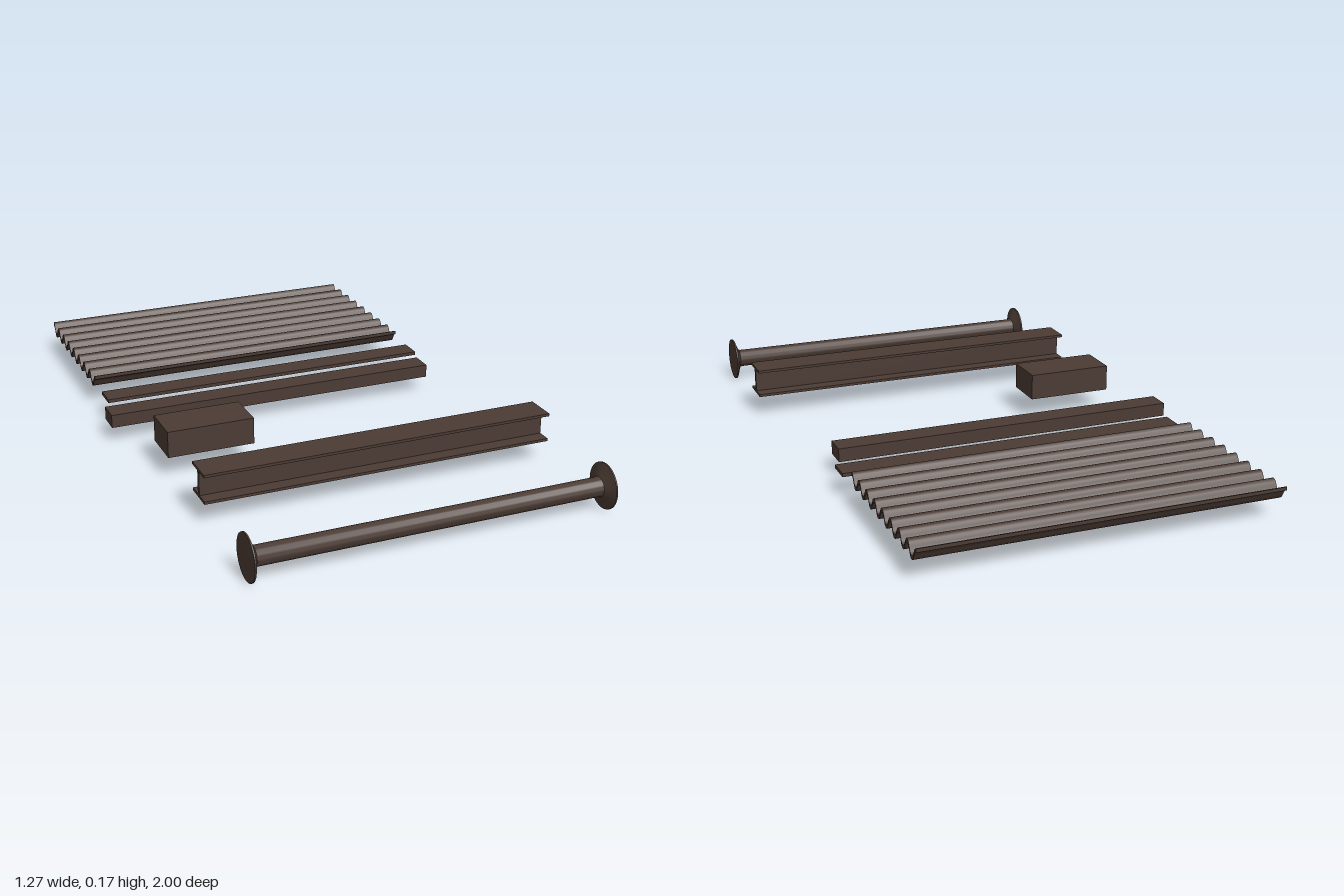
import * as THREE from 'three';
import { toCreasedNormals } from 'three/addons/utils/BufferGeometryUtils.js';

export function createModel() {
  const model = new THREE.Group();
  model.name = 'buildingMaterials';
  const rustyBrown = new THREE.MeshStandardMaterial({ color: 0x4b3b34 });
  rustyBrown.name = 'rustyBrown';

  const add = (name, geometry) => {
    const mesh = new THREE.Mesh(geometry, rustyBrown);
    mesh.name = name;
    model.add(mesh);
  };

  // Solid block given by its two extreme corners
  const block = (name, x0, x1, y0, y1, z0, z1) =>
    add(name, new THREE.BoxGeometry(x1 - x0, y1 - y0, z1 - z0)
      .translate((x0 + x1) / 2, (y0 + y1) / 2, (z0 + z1) / 2));

  // Section drawn as [z, y] points, extruded along x
  const profile = (name, points, x0, x1, crease) => {
    const shape = new THREE.Shape(points.map(([z, y]) => new THREE.Vector2(-z, y)));
    const geometry = new THREE.ExtrudeGeometry(shape, { depth: x1 - x0, bevelEnabled: false })
      .rotateY(Math.PI / 2).translate(x0, 0, 0);
    add(name, toCreasedNormals(geometry, crease));
  };

  // Pipe with a tapered flange and closed face at each end
  const end = [[0, 0], [0.074, 0], [0.074, 0.005], [0.066, 0.008], [0.042, 0.017], [0.033, 0.022], [0.031, 0.03]];
  const length = 1.167;
  const outline = [...end, ...end.map(([r, t]) => [r, length - t]).reverse()]
    .map(([r, t]) => new THREE.Vector2(r, t));
  const pipe = new THREE.LatheGeometry(outline, 32).rotateZ(-Math.PI / 2).translate(-0.546, 0.074, 0.926);
  add('flangedPipe', toCreasedNormals(pipe, 0.6));

  // I-beam: right half of the section, then its mirror image
  const half = [[0.007, 0.08], [0.053, 0.08], [0.053, 0.071], [-0.053, 0.071], [-0.053, 0.08], [-0.007, 0.08]];
  const section = [...half, ...half.map(([z, y]) => [-z, 0.239 - y])];
  // the mirrored half is rotated about the centre so the outline stays in order
  profile('iBeam', section.map(([z, y]) => [z + 0.524, y]), -0.545, 0.631, 0.3);

  // Plain block, square timber and thin strip
  block('shortBlock', -0.546, -0.255, 0.073, 0.162, 0.089, 0.233);
  block('beam', -0.635, 0.535, 0.053, 0.098, -0.179, -0.1);
  block('flatStrip', -0.6, 0.573, 0.071, 0.083, -0.345, -0.265);

  // Corrugated sheet: eight waves with a constant thickness
  const waves = 8, perWave = 12, top = [], bottom = [];
  for (let i = 0; i <= waves * perWave; i++) {
    const z = -1 + 0.586 * i / (waves * perWave);
    const c = Math.cos(2 * Math.PI * i / perWave);
    const y = 0.09 + 0.018 * Math.sin(c * 1.25) / Math.sin(1.25);
    top.push([z, y + 0.006]);
    bottom.push([z, y - 0.006]);
  }
  profile('corrugatedSheet', [...top, ...bottom.reverse()], -0.605, 0.564, 0.7);

  return model;
}
